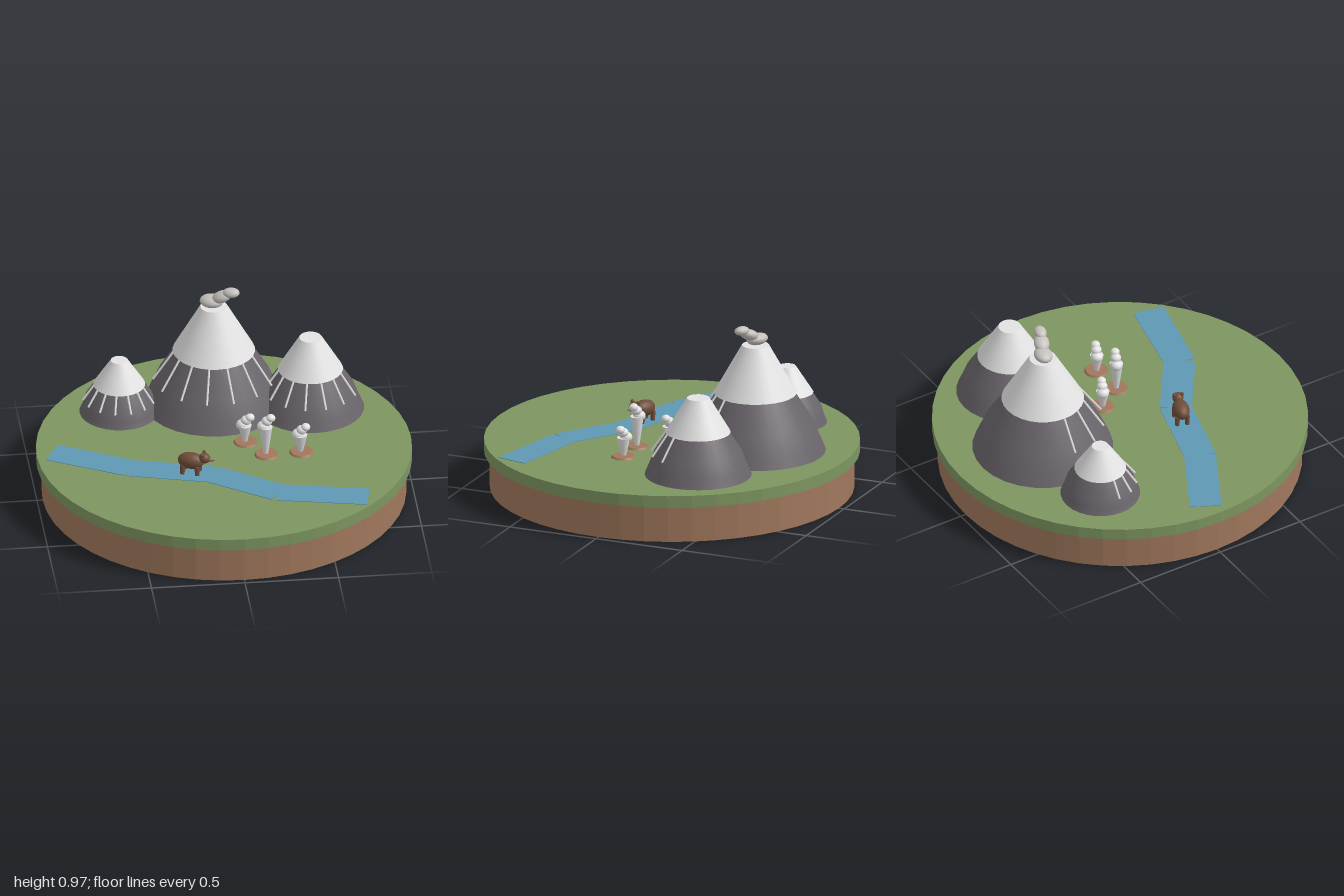
import * as THREE from 'three';

const mat = (name, color, extra = {}) => Object.assign(new THREE.MeshStandardMaterial({ color, ...extra }), { name });
const GROUND = 0.265;

export function createModel() {
  const root = new THREE.Group();
  root.name = 'landscapeDiorama';
  const soil = mat('soil', 0xa0775c, { flatShading: true });
  const grass = mat('grass', 0x7d9660, { flatShading: true });
  const rock = mat('rock', 0x69646a, { side: THREE.DoubleSide });
  const snow = mat('snow', 0xe2e2e2, { side: THREE.DoubleSide });
  const steam = mat('steam', 0xc4c0bc);
  const water = mat('water', 0x5f98b4);
  const fur = mat('fur', 0x6e4d38);
  const snoutFur = mat('snoutFur', 0x8a6a52);

  const add = (parent, name, geometry, material, x = 0, y = 0, z = 0) => {
    const mesh = new THREE.Mesh(geometry, material);
    mesh.name = name;
    mesh.position.set(x, y, z);
    parent.add(mesh);
    return mesh;
  };
  const group = (name, x, y, z) => {
    const g = new THREE.Group();
    g.name = name;
    g.position.set(x, y, z);
    root.add(g);
    return g;
  };
  const ball = (parent, name, material, pos, size) => {
    const m = add(parent, name, new THREE.SphereGeometry(1, 18, 12), material, ...pos);
    m.scale.set(...size);
    return m;
  };
  const lathe = (points) => new THREE.LatheGeometry(points.map(([r, y]) => new THREE.Vector2(r, y)), 28);

  // Round base
  add(root, 'soilBase', new THREE.CylinderGeometry(0.97, 0.97, 0.2, 48), soil, 0, 0.1, 0);
  add(root, 'grassTop', new THREE.CylinderGeometry(1, 1, 0.065, 48), grass, 0, 0.2325, 0);

  // Mountains: rock skirt, snow cap and melt streaks around the front half
  const up = new THREE.Vector3(0, 1, 0);
  function mountain(name, x, z, baseR, snowR, topR, snowY, topY, drop) {
    const g = group(name, x, GROUND, z);
    const rim = snowR * 0.93;
    add(g, 'rock', lathe([
      [baseR, 0],
      [baseR * 0.93, snowY * 0.2],
      [(baseR + rim) * 0.5 + 0.012, snowY * 0.53],
      [rim, snowY + 0.005],
    ]), rock);
    add(g, 'snowCap', lathe([[rim * 0.95, snowY + 0.003], [snowR, snowY], [snowR, snowY],
      [(snowR + topR) / 2, (snowY + topY) / 2], [topR, topY]]), snow);
    const cap = add(g, 'snowSummit', new THREE.CircleGeometry(topR, 28), snow, 0, topY, 0);
    cap.rotation.x = -Math.PI / 2;
    for (let i = 0; i < 7; i++) {
      const a = Math.PI - (i * Math.PI) / 7;
      const r0 = snowR * 0.98, r1 = snowR + drop * 0.66;
      const p = new THREE.Vector3(Math.cos(a) * r0, snowY, Math.sin(a) * r0);
      const q = new THREE.Vector3(Math.cos(a) * r1, snowY - drop, Math.sin(a) * r1);
      const dir = p.clone().sub(q);
      const streak = add(g, 'meltStreak', new THREE.CylinderGeometry(0.006, 0.006, dir.length(), 6), snow);
      streak.position.copy(p).add(q).multiplyScalar(0.5);
      streak.quaternion.setFromUnitVectors(up, dir.normalize());
    }
  }
  mountain('centralMountain', 0, -0.485, 0.375, 0.22, 0.072, 0.32, 0.585, 0.16);
  mountain('rightPeak', -0.51, -0.445, 0.212, 0.138, 0.045, 0.165, 0.31, 0.085);
  mountain('leftPeak', 0.505, -0.375, 0.285, 0.173, 0.06, 0.235, 0.425, 0.12);

  // Steam drifting from the central summit
  const plume = group('summitSteam', 0, 0, 0);
  [[-0.012, 0.88, -0.49, 0.064, 0.032, 0.05, 0.05], [0.04, 0.915, -0.467, 0.056, 0.03, 0.042, 0.45],
    [0.088, 0.948, -0.445, 0.046, 0.025, 0.034, 0.12]].forEach(([x, y, z, a, b, c, tilt]) => {
    const puff = ball(plume, 'steamPuff', steam, [x, y, z], [a, b, c]);
    puff.rotation.set(0.15, -0.35, tilt);
  });

  // River of straight thin reaches
  const river = group('river', 0, GROUND, 0);
  const course = [[-0.91, -0.035], [-0.52, 0.175], [-0.095, 0.29], [0.235, 0.522], [0.698, 0.62]];
  for (let i = 0; i < 4; i++) {
    const [x0, z0] = course[i], [x1, z1] = course[i + 1];
    const dx = x1 - x0, dz = z1 - z0;
    const reach = add(river, 'riverReach', new THREE.BoxGeometry(Math.hypot(dx, dz) + 0.01, 0.003, 0.17), water,
      (x0 + x1) / 2, 0.001 + i * 0.0003, (z0 + z1) / 2);
    reach.rotation.y = -Math.atan2(dz, dx);
  }

  // Geysers: dirt ring, widening jet, three puffs
  for (const [x, z, h] of [[0.12, -0.035, 0.105], [0.215, 0.11, 0.17], [0.402, 0.105, 0.108]]) {
    const g = group('geyser', x, GROUND, z);
    add(g, 'dirtMound', new THREE.CylinderGeometry(0.058, 0.065, 0.01, 24), soil, 0, 0.005, 0);
    add(g, 'waterJet', new THREE.CylinderGeometry(0.036, 0.013, h - 0.01, 16), snow, -0.004, h / 2 + 0.005, 0);
    [[-0.017, 0, -0.008, 0.034], [0.002, 0.033, 0, 0.029], [0.022, 0.054, 0.008, 0.025]].forEach(([px, py, pz, r]) =>
      ball(g, 'sprayPuff', snow, [px, h + py * (h > 0.15 ? 1.05 : 0.9), pz], [r, r * 0.85, r]));
  }

  // Bear facing along its local +x
  const bear = group('bear', -0.205, GROUND, 0.253);
  bear.rotation.y = -0.35;
  ball(bear, 'body', fur, [0, 0.073, 0], [0.072, 0.045, 0.045]);
  ball(bear, 'head', fur, [0.074, 0.097, 0], [0.031, 0.028, 0.03]);
  const snout = add(bear, 'snout', new THREE.ConeGeometry(0.016, 0.045, 12), snoutFur, 0.113, 0.09, 0);
  snout.rotation.z = -Math.PI / 2;
  for (const side of [-1, 1]) {
    ball(bear, 'ear', fur, [0.067, 0.122, side * 0.021], [0.01, 0.011, 0.01]);
    for (const lx of [-0.04, 0.04]) {
      add(bear, 'leg', new THREE.CylinderGeometry(0.013, 0.012, 0.055, 10), fur, lx, 0.0275, side * 0.027);
    }
  }
  return root;
}
